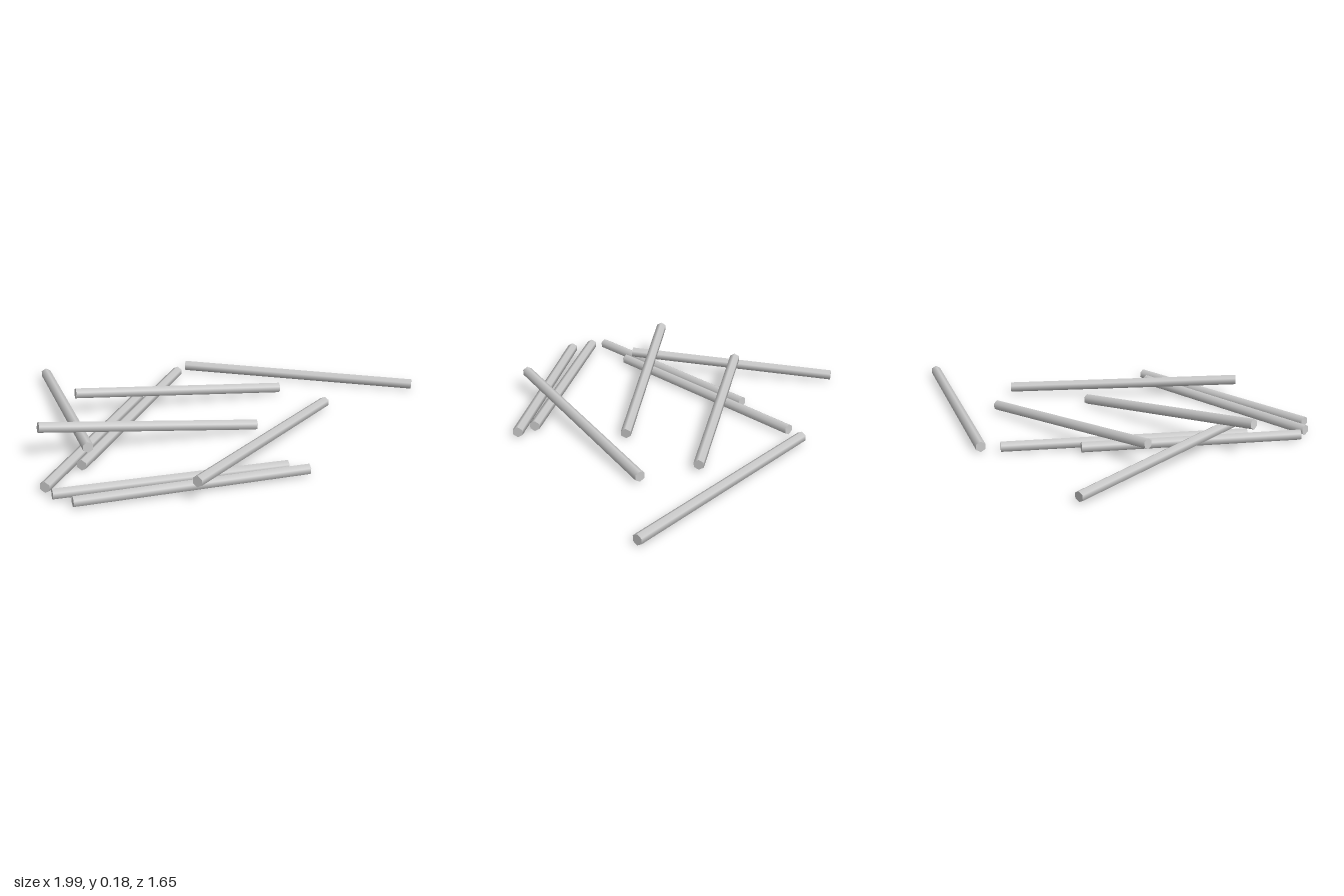
import * as THREE from 'three';

const R = 0.025;

// End centres of each stick: [x, y, z] to [x, y, z]
const STICKS = [
  // lying flat on the ground
  [[-0.02, R, -0.275], [-0.97, R, 0.09]],
  [[0.335, R, -0.345], [-0.727, R, 0.056]],
  [[-0.99, R, 0.155], [-0.144, R, 0.714]],
  [[-0.98, R, 0.265], [-0.112, R, 0.803]],
  [[0.422, R, -0.366], [0.973, R, 0.628]],
  // resting on other sticks
  [[-0.13, 0.03, -0.813], [-0.67, 0.083, 0.04]],
  [[-0.34, 0.11, -0.38], [0.5, 0.028, 0.17]],
  [[-0.775, 0.153, -0.158], [0.09, 0.026, 0.355]],
  [[-0.615, 0.093, 0.612], [0.505, 0.029, 0.441]],
];

export function createModel() {
  const group = new THREE.Group();
  group.name = 'scatteredSticks';
  const material = new THREE.MeshStandardMaterial({ color: 0xcccccc });

  STICKS.forEach(([from, to], i) => {
    const a = new THREE.Vector3(...from);
    const b = new THREE.Vector3(...to);
    // six-sided rod along z, one edge pointing up
    const rod = new THREE.CylinderGeometry(R, R, a.distanceTo(b), 6).rotateX(Math.PI / 2);
    const stick = new THREE.Mesh(rod, material);
    stick.name = `stick${i + 1}`;
    stick.position.lerpVectors(a, b, 0.5);
    stick.lookAt(b);
    group.add(stick);
  });
  return group;
}
